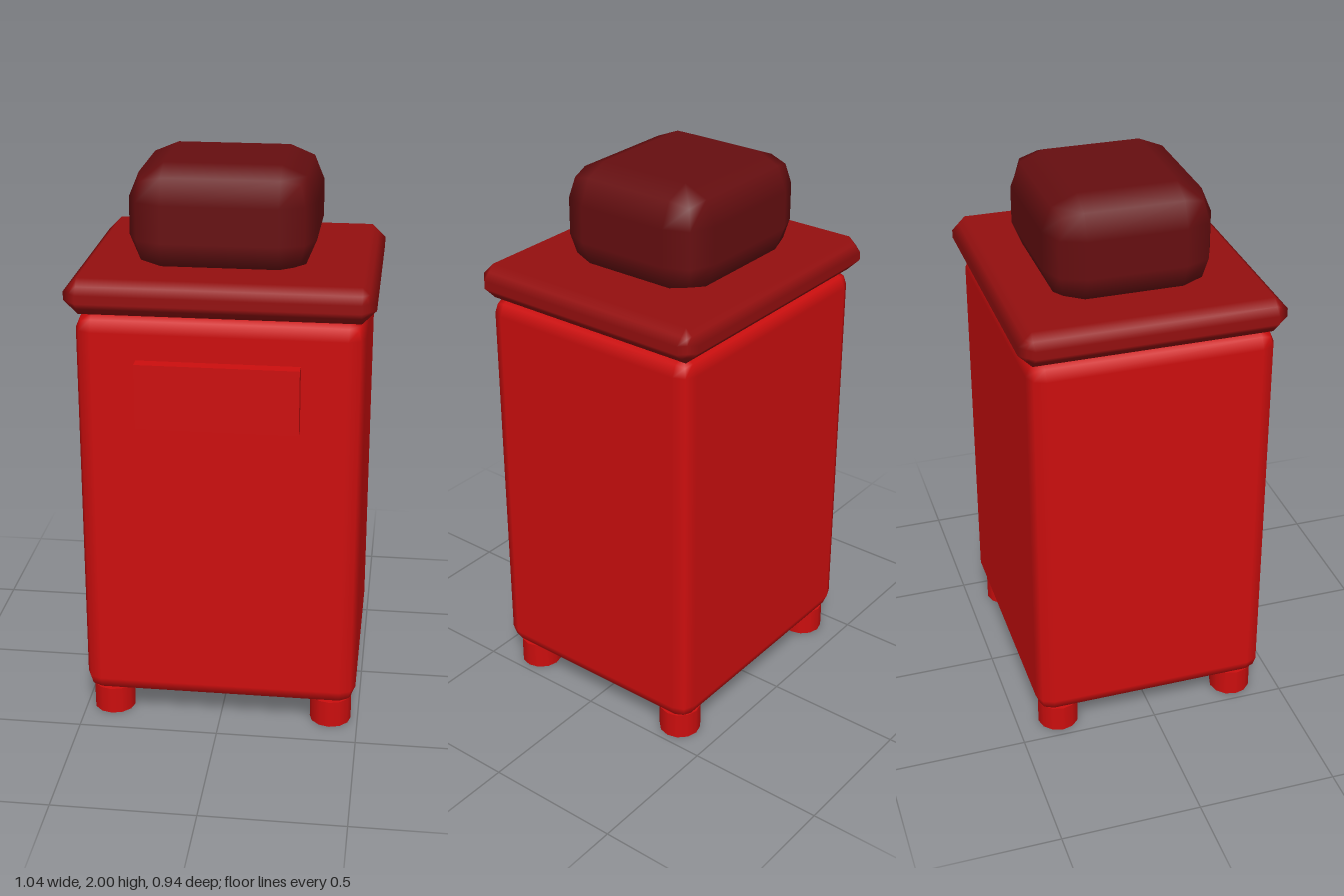
import * as THREE from 'three';
import { RoundedBoxGeometry } from 'three/addons/geometries/RoundedBoxGeometry.js';

const red = new THREE.MeshStandardMaterial({ color: 0xcc0e0e });
red.name = 'bright red';
const darkRed = new THREE.MeshStandardMaterial({ color: 0x940f0f });
darkRed.name = 'dark red';
const maroon = new THREE.MeshStandardMaterial({ color: 0x660e10 });
maroon.name = 'maroon';

// Box with smooth bevelled edges; a flat bevel replaces the rounding when chamfer is true
function bevelBox(w, h, d, r, chamfer = false) {
  const geometry = new RoundedBoxGeometry(w, h, d, 1, r);
  if (chamfer) {
    const p = geometry.attributes.position;
    const n = geometry.attributes.normal;
    for (let i = 0; i < p.count; i++) {
      const nx = n.getX(i), ny = n.getY(i), nz = n.getZ(i);
      const k = r / (Math.abs(nx) + Math.abs(ny) + Math.abs(nz)) - r;
      p.setXYZ(i, p.getX(i) + nx * k, p.getY(i) + ny * k, p.getZ(i) + nz * k);
    }
  }
  return geometry;
}

export function createModel() {
  const model = new THREE.Group();
  model.name = 'cabinet';

  function add(name, geometry, material, x, y, z) {
    const mesh = new THREE.Mesh(geometry, material);
    mesh.name = name;
    mesh.position.set(x, y, z);
    model.add(mesh);
  }

  // Main cabinet
  add('body', bevelBox(0.98, 1.44, 0.86, 0.057), red, 0, 0.815, -0.006);

  // Overhanging lid with chamfered edges
  add('lid', bevelBox(1.044, 0.125, 0.92, 0.048, true), darkRed, 0, 1.5985, -0.009);

  // Rounded block sunk slightly into the lid
  add('topBlock', bevelBox(0.644, 0.375, 0.584, 0.122), maroon, -0.017, 1.8125, -0.024);

  // Raised panel on the front
  add('frontPanel', new THREE.BoxGeometry(0.556, 0.23, 0.07), red, 0, 1.272, 0.435);

  // Four round feet
  const foot = new THREE.CylinderGeometry(0.075, 0.075, 0.1, 12);
  for (const x of [-0.4, 0.4]) {
    for (const z of [0.333, -0.345]) add('foot', foot, red, x, 0.05, z);
  }

  return model;
}
